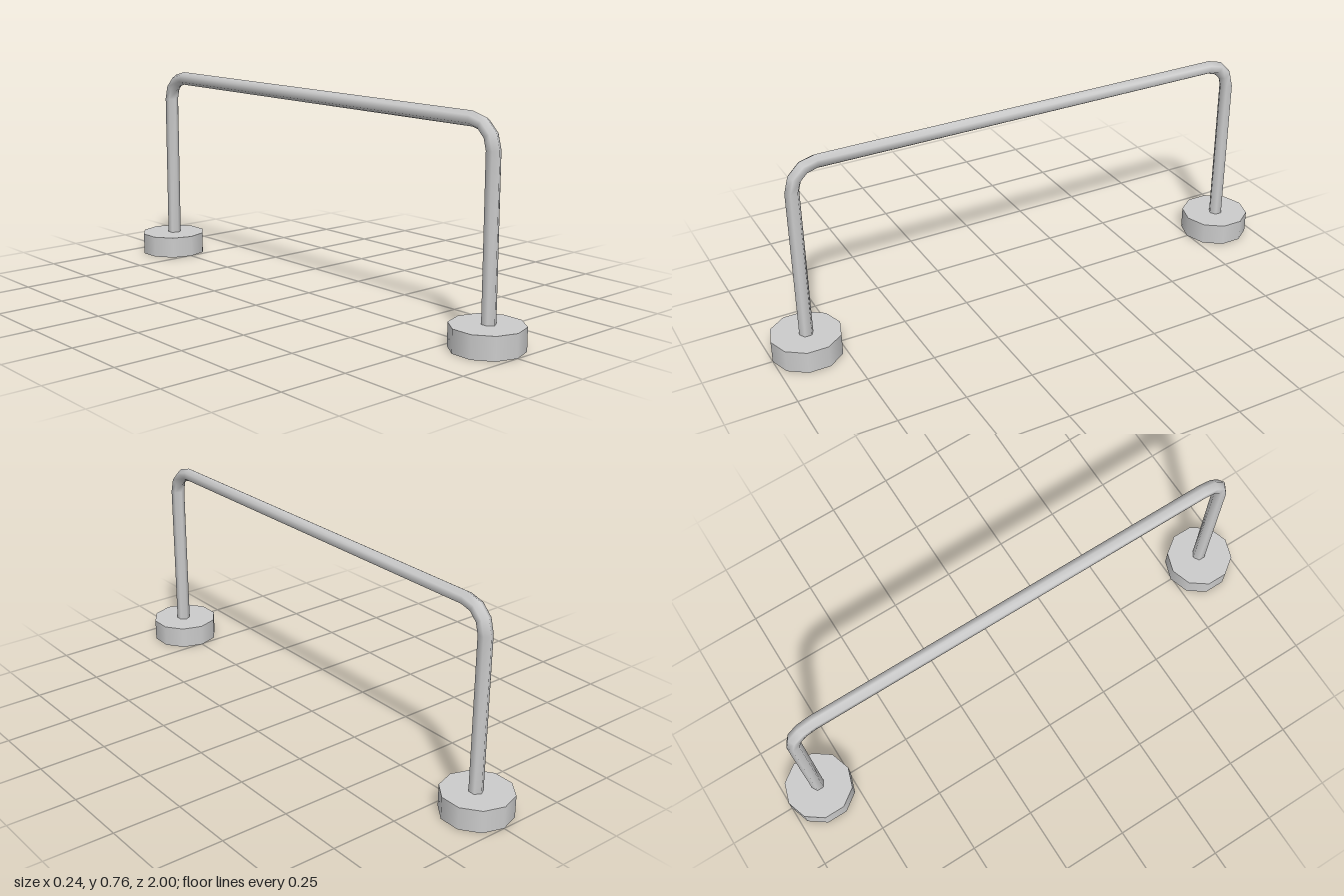
import * as THREE from 'three';

const LEG_Z = 0.8725, RAIL_Y = 0.7325, BEND = 0.09, BEND_STEPS = 3;
const TUBE_R = 0.0255, TUBE_SIDES = 6, TUBE_X = 0.006;
const FOOT_R = 0.1275, FOOT_H = 0.082;

// Hexagonal tube swept up the front leg, across the top and down the back leg
function tubeGeometry() {
  // each station: [z, y, angle of the outward direction from +z towards +y]
  const stations = [[LEG_Z, 0.04, 0]];
  for (const side of [1, -1]) {
    for (let i = 0; i <= BEND_STEPS; i++) {
      const a = (Math.PI / 2) * (i / BEND_STEPS + (side < 0 ? 1 : 0));
      stations.push([
        side * (LEG_Z - BEND) + BEND * Math.cos(a),
        RAIL_Y - BEND + BEND * Math.sin(a),
        a,
      ]);
    }
  }
  stations.push([-LEG_Z, 0.04, Math.PI]);

  const positions = [], index = [];
  stations.forEach(([z, y, a], s) => {
    for (let i = 0; i < TUBE_SIDES; i++) {
      const t = (i / TUBE_SIDES) * Math.PI * 2;
      const out = TUBE_R * Math.cos(t);
      positions.push(TUBE_R * Math.sin(t), y + out * Math.sin(a), z + out * Math.cos(a));
      if (s === 0) continue;
      const j = (i + 1) % TUBE_SIDES;
      const lo = (s - 1) * TUBE_SIDES, hi = s * TUBE_SIDES;
      index.push(lo + i, lo + j, hi + j, lo + i, hi + j, hi + i);
    }
  });
  const geometry = new THREE.BufferGeometry();
  geometry.setAttribute('position', new THREE.Float32BufferAttribute(positions, 3));
  geometry.setIndex(index);
  geometry.computeVertexNormals();
  return geometry;
}

export function createModel() {
  const group = new THREE.Group();
  group.name = 'floorRail';
  const material = new THREE.MeshStandardMaterial({ color: 0xcccccc });

  const tube = new THREE.Mesh(tubeGeometry(), material);
  tube.name = 'bentTube';
  tube.position.x = TUBE_X;
  group.add(tube);

  // Ten-sided weighted feet under both legs
  const footGeometry = new THREE.CylinderGeometry(FOOT_R, FOOT_R, FOOT_H, 10);
  for (const side of [1, -1]) {
    const foot = new THREE.Mesh(footGeometry, material);
    foot.name = side > 0 ? 'frontFoot' : 'backFoot';
    foot.position.set(0, FOOT_H / 2, side * LEG_Z);
    group.add(foot);
  }
  return group;
}
